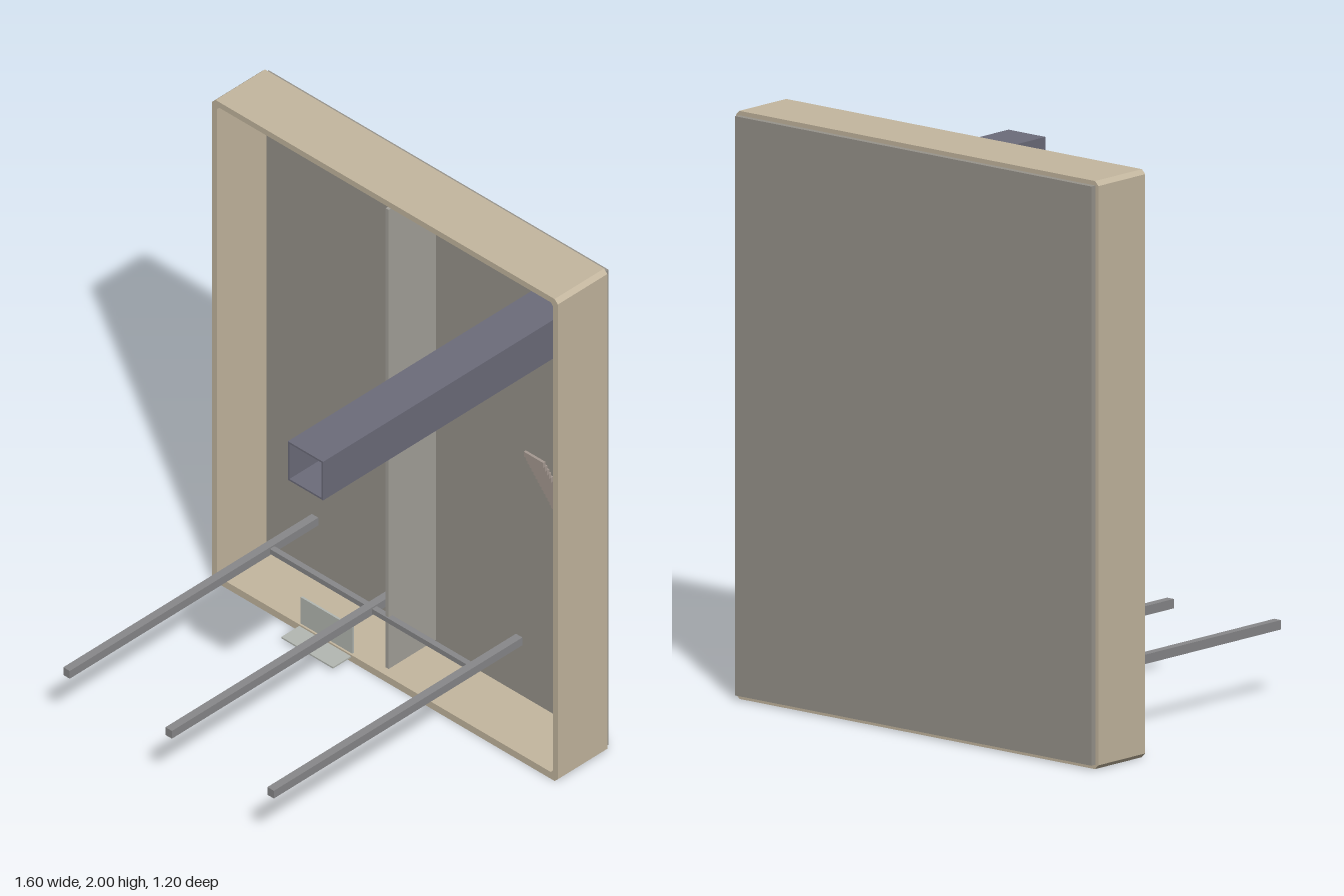
import * as THREE from 'three';

const mat = (color) => new THREE.MeshStandardMaterial({ color });
const shellMat = mat(0xc4b79f);
const panelMat = mat(0x98948c);
const dividerMat = mat(0xa4a19a);
const ductMat = mat(0x6c6c7a);
const rodMat = mat(0x88888a);
const trayMat = mat(0xb4b8b2);
const slatMat = mat(0xa69a92);

const FRONT = -0.345, BACK = -0.58, END = 0.6;

export function createModel() {
  const group = new THREE.Group();

  const add = (name, geometry, material) => {
    const mesh = new THREE.Mesh(geometry, material);
    mesh.name = name;
    group.add(mesh);
    return mesh;
  };

  // Box given by its minimum and maximum on each axis
  const box = (name, x0, x1, y0, y1, z0, z1, material) => {
    const mesh = add(name, new THREE.BoxGeometry(x1 - x0, y1 - y0, z1 - z0), material);
    mesh.position.set((x0 + x1) / 2, (y0 + y1) / 2, (z0 + z1) / 2);
  };

  // Rectangle with cut corners, for shape or hole
  const cutRect = (Type, x0, x1, y0, y1, c) => {
    const points = [
      [x0 + c, y0], [x1 - c, y0], [x1, y0 + c], [x1, y1 - c],
      [x1 - c, y1], [x0 + c, y1], [x0, y1 - c], [x0, y0 + c],
    ].map(([x, y]) => new THREE.Vector2(x, y));
    return new Type(points);
  };

  const extrudeZ = (name, shape, z0, z1, material) => {
    const geometry = new THREE.ExtrudeGeometry(shape, { depth: z1 - z0, bevelEnabled: false });
    geometry.translate(0, 0, z0);
    add(name, geometry, material);
  };

  // Shallow open cabinet frame
  const frame = cutRect(THREE.Shape, -0.8, 0.8, 0, 2, 0.015);
  frame.holes.push(cutRect(THREE.Path, -0.777, 0.777, 0.028, 1.977, 0.01));
  extrudeZ('cabinetFrame', frame, BACK, FRONT, shellMat);

  // Back panel and central divider
  box('backPanel', -0.787, 0.787, 0.015, 1.985, -0.6, BACK, panelMat);
  box('centreDivider', -0.007, 0.007, 0.05, 1.955, BACK, -0.355, dividerMat);

  // Hollow square duct
  const rect = (Type, x0, x1, y0, y1) => new Type([
    new THREE.Vector2(x0, y0), new THREE.Vector2(x1, y0),
    new THREE.Vector2(x1, y1), new THREE.Vector2(x0, y1),
  ]);
  const duct = rect(THREE.Shape, 0.472, 0.635, 1.595, 1.755);
  duct.holes.push(rect(THREE.Path, 0.479, 0.628, 1.602, 1.748));
  extrudeZ('duct', duct, BACK, END, ductMat);

  // Long support rods joined by a crossbar
  for (const x of [-0.553, -0.08, 0.392]) {
    box('supportRod', x - 0.015, x + 0.015, 0.238, 0.27, BACK, END, rodMat);
  }
  box('crossbar', -0.553, 0.392, 0.244, 0.264, -0.372, -0.35, rodMat);

  // L-shaped tray at the bottom of the opening
  box('trayBack', -0.397, -0.158, 0.016, 0.137, -0.36, -0.352, trayMat);
  box('trayLip', -0.397, -0.158, 0.016, 0.022, -0.36, -0.26, trayMat);

  // Sloping louvre of narrow slats
  const slats = 15, step = 0.305 / slats;
  for (let i = 0; i < slats; i++) {
    const y = 0.887 + i * step;
    const z = -0.575 + i * 0.0093;
    box('louvreSlat', 0.55, 0.64, y, y + step, z - 0.005, z + 0.005, slatMat);
  }

  return group;
}
